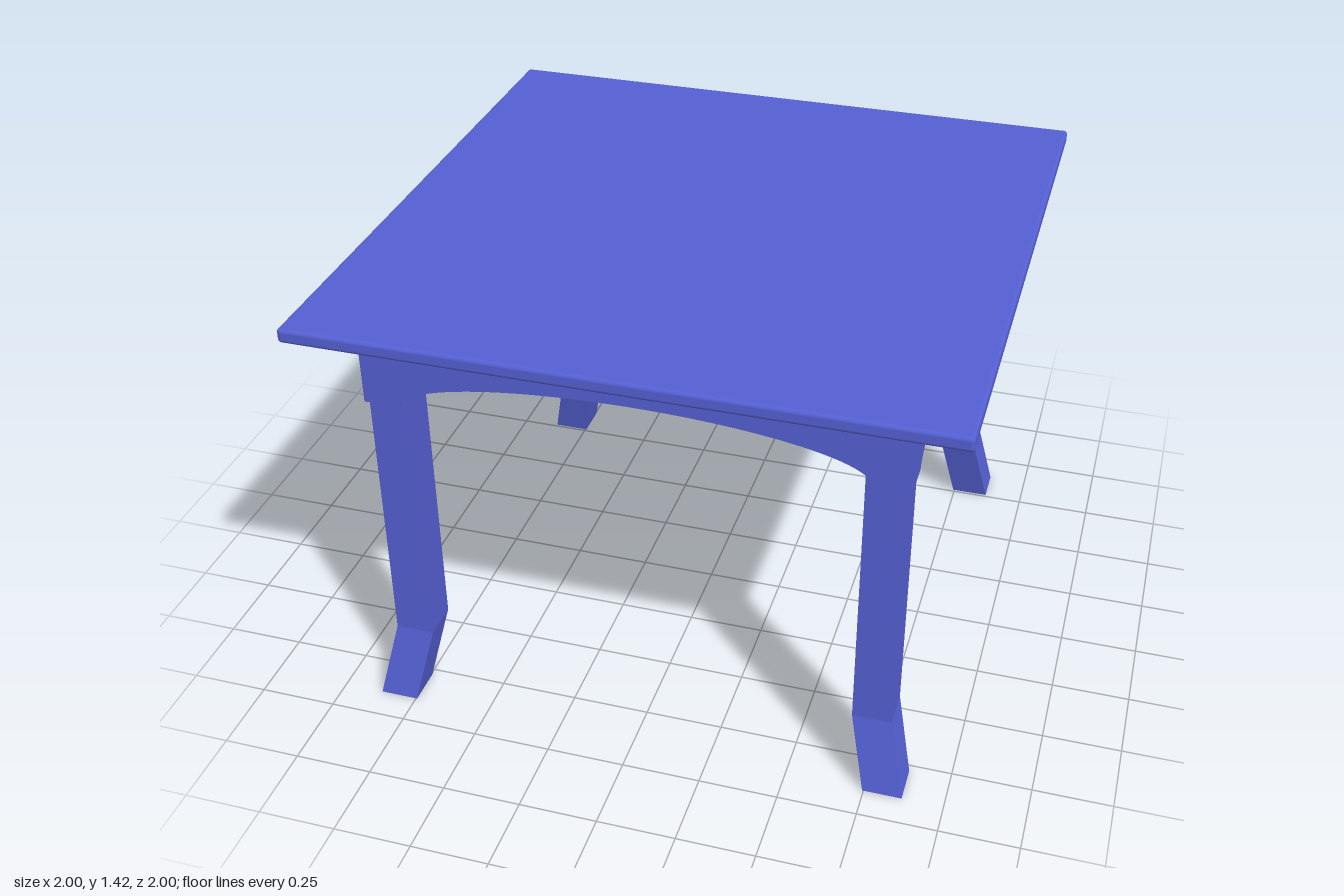
import * as THREE from 'three';
import { RoundedBoxGeometry } from 'three/addons/geometries/RoundedBoxGeometry.js';

const material = new THREE.MeshStandardMaterial({ color: 0x5560d4 });
const UNDERSIDE = 1.377, APRON_BOTTOM = 1.12, ARCH_RISE = 0.13;
const APRON_THICK = 0.04, Z_MID = 0.0075;

function addMesh(parent, name, geometry) {
  const mesh = new THREE.Mesh(geometry, material);
  mesh.name = name;
  parent.add(mesh);
  return mesh;
}

// Board with an elliptical arch cut from its lower edge, centred on its thickness
function apronGeometry(halfLength, archHalf) {
  const shape = new THREE.Shape();
  shape.moveTo(halfLength, APRON_BOTTOM);
  shape.lineTo(halfLength, UNDERSIDE);
  shape.lineTo(-halfLength, UNDERSIDE);
  shape.lineTo(-halfLength, APRON_BOTTOM);
  shape.lineTo(-archHalf, APRON_BOTTOM);
  shape.absellipse(0, APRON_BOTTOM, archHalf, ARCH_RISE, Math.PI, 0, true);
  shape.closePath();
  return new THREE.ExtrudeGeometry(shape, { depth: APRON_THICK, bevelEnabled: false, curveSegments: 40 })
    .translate(0, 0, -APRON_THICK / 2);
}

// Square post whose lowest part kicks outward along both axes
function legGeometry(sx, sz) {
  const kneeY = 0.25, kick = 0.055;
  const box = new THREE.BoxGeometry(0.124, 2, 0.124, 1, 2, 1);
  const p = box.attributes.position;
  for (let i = 0; i < p.count; i++) {
    const level = Math.round(p.getY(i));
    p.setY(i, [0, kneeY, UNDERSIDE][level + 1]);
    if (level === -1) {
      p.setX(i, p.getX(i) + sx * kick);
      p.setZ(i, p.getZ(i) + sz * kick);
    }
  }
  const flat = box.toNonIndexed();
  flat.computeVertexNormals();
  return flat;
}

export function createModel() {
  const table = new THREE.Group();
  table.name = 'table';

  // Thin square top with softened edges
  const top = addMesh(table, 'tableTop', new RoundedBoxGeometry(2, 0.046, 2, 3, 0.012));
  top.position.y = UNDERSIDE + 0.023;

  // Four legs
  for (const sx of [-1, 1]) {
    for (const sz of [-1, 1]) {
      const name = (sz > 0 ? 'front' : 'back') + (sx > 0 ? 'Left' : 'Right') + 'Leg';
      const leg = addMesh(table, name, legGeometry(sx, sz));
      leg.position.set(sx * 0.753, 0, Z_MID + sz * 0.774);
    }
  }

  // Arched aprons: front and back fit between the two side ones
  const halfX = 0.827, halfZ = 0.846;
  for (const s of [-1, 1]) {
    const cross = addMesh(table, s > 0 ? 'frontApron' : 'backApron', apronGeometry(halfX - APRON_THICK, 0.71));
    cross.position.z = Z_MID + s * (halfZ - APRON_THICK / 2);
    const side = addMesh(table, s > 0 ? 'leftApron' : 'rightApron', apronGeometry(halfZ, 0.73));
    side.rotation.y = Math.PI / 2;
    side.position.set(s * (halfX - APRON_THICK / 2), 0, Z_MID);
  }
  return table;
}
